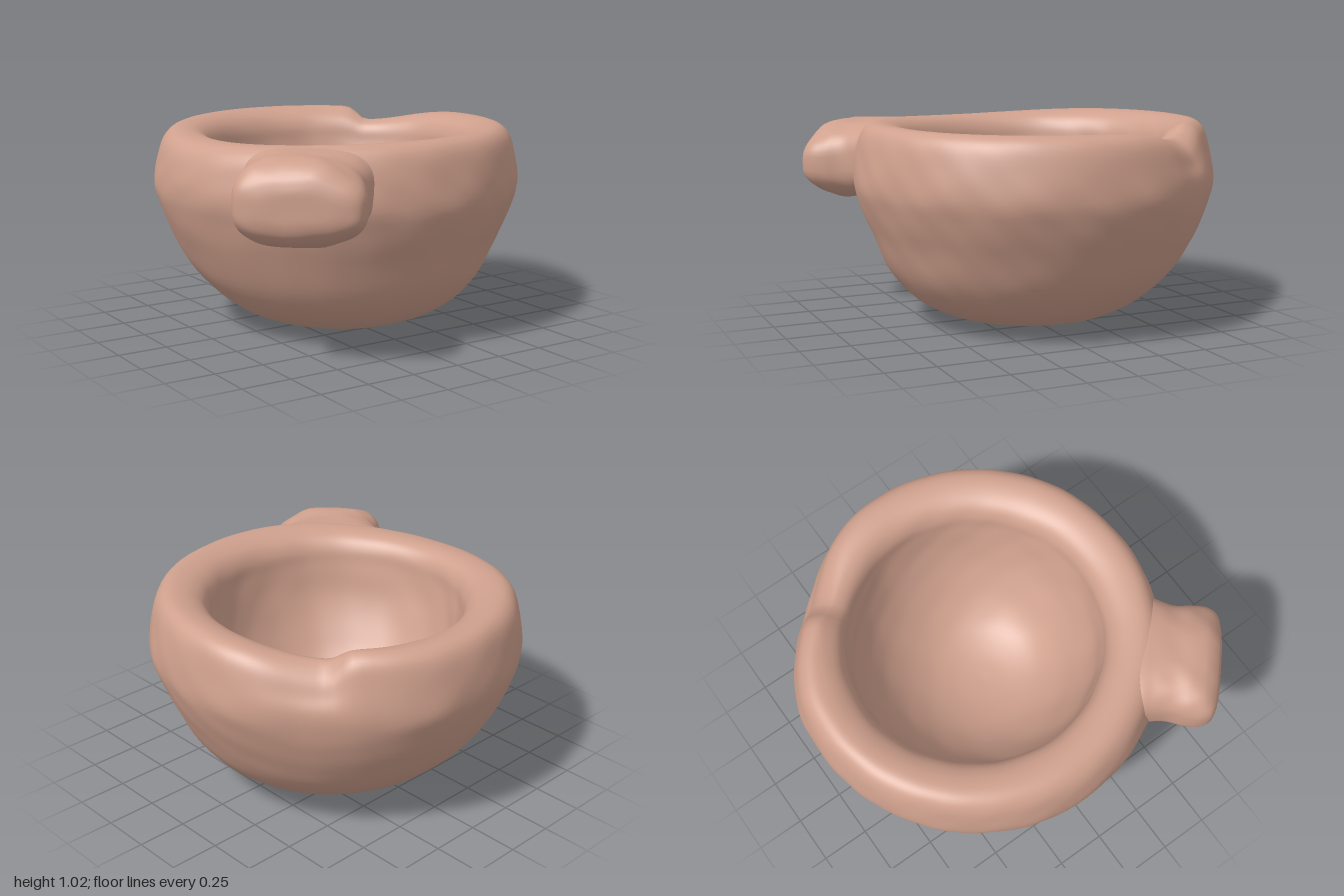
import * as THREE from 'three';
import { mergeVertices } from 'three/addons/utils/BufferGeometryUtils.js';

const CENTRE = { x: 0.025, z: -0.07 };
const NOTCH = Math.atan2(0.6, -0.56); // direction of the pouring notch
const HANDLE = Math.atan2(-0.66, 0.75); // direction of the handle

const bell = (d, w) => Math.exp(-(d * d) / (w * w));
const wrap = (a) => Math.atan2(Math.sin(a), Math.cos(a));
const ramp = THREE.MathUtils.smoothstep;

// Smooth pseudo-random unevenness of worn stone
function rough(x, y, z) {
  return 0.40 * Math.sin(5.1 * x + 2.3 * z + 3 * y) * Math.sin(4.7 * z - 2.9 * y + 1)
    + 0.25 * Math.sin(11 * x - 7 * y + 0.5) * Math.sin(9 * z + 10 * y)
    + 0.18 * Math.sin(23 * x + 13 * y) * Math.sin(21 * z - 17 * y + 2);
}

// Move every vertex by a rule, then weld and smooth
function sculpt(geometry, rule) {
  const p = geometry.attributes.position;
  const v = new THREE.Vector3();
  for (let i = 0; i < p.count; i++) {
    rule(v.fromBufferAttribute(p, i));
    p.setXYZ(i, v.x, v.y, v.z);
  }
  geometry.deleteAttribute('uv');
  geometry.deleteAttribute('normal');
  const welded = mergeVertices(geometry, 1e-4);
  welded.computeVertexNormals();
  return welded;
}

function bowlGeometry() {
  // Outside from the base up, over the rounded rim, down to the hollow floor
  const profile = new THREE.SplineCurve([
    [0, 0.004], [0.18, 0.01], [0.33, 0.027], [0.48, 0.07], [0.62, 0.155], [0.755, 0.3], [0.85, 0.48],
    [0.905, 0.62], [0.93, 0.73], [0.915, 0.87], [0.885, 0.975], [0.83, 1.02], [0.75, 1.015],
    [0.68, 0.98], [0.64, 0.92], [0.625, 0.83], [0.59, 0.68], [0.53, 0.53], [0.43, 0.38], [0.3, 0.27],
    [0.15, 0.215], [0, 0.2],
  ].map(([r, y]) => new THREE.Vector2(r, y))).getPoints(105);
  profile[0].x = profile[105].x = 0;

  return sculpt(new THREE.LatheGeometry(profile, 120), (v) => {
    const { y } = v;
    const r = Math.hypot(v.x, v.z);
    const angle = Math.atan2(v.x, v.z);
    const d = wrap(angle - NOTCH);
    const outward = ramp(r, 0.62, 0.9);
    const top = ramp(y, 0.72, 1.0);
    // Rougher band under the rim, flattened wall by the notch
    const band = 0.009 + 0.006 * bell(y - 0.74, 0.12);
    const flat = 0.06 * bell(d, 0.4) * ramp(y, 0.4, 0.95) + 0.02 * bell(d, 0.7) * bell(y - 0.4, 0.25);
    const scale = 1 + (rough(v.x, y, v.z) * band * Math.min(1, r * 3)
      - flat * ramp(r, 0.68, 0.85)) / Math.max(r, 0.01);
    // Channel across the rim: one steep flank, one gentle flank
    const cut = bell(d, d > 0 ? 0.09 : 0.4) * (0.03 + 0.07 * outward);
    // Rim worn down on the right
    const worn = 0.05 * bell(wrap(angle + 1.45), 0.7) * outward;
    // The lower bowl sits slightly further forward
    const lean = 0.045 * (1 - ramp(y, 0.1, 0.5));
    v.set(v.x * scale, y - (cut + worn) * top, v.z * scale + lean);
  });
}

function handleGeometry() {
  // Stations outward from the bowl: distance, half width, bottom, top
  const stations = [
    [0.7, 0.3, 0.72, 0.97], [0.8, 0.325, 0.66, 1.005], [0.88, 0.3, 0.615, 1.005],
    [0.97, 0.285, 0.595, 1.0], [1.06, 0.3, 0.595, 1.0], [1.13, 0.3, 0.615, 0.98],
    [1.18, 0.275, 0.655, 0.935], [1.205, 0.2, 0.7, 0.88], [1.21, 0, 0.79, 0.79],
  ];
  const size = new THREE.CatmullRomCurve3(stations.map(([s, w]) => new THREE.Vector3(s, w, 0)));
  const level = new THREE.CatmullRomCurve3(stations.map(([s, , b, t]) => new THREE.Vector3(s, b, t)));
  const a = new THREE.Vector3();
  const b = new THREE.Vector3();
  const block = (c) => Math.sign(c) * Math.pow(Math.abs(c), 0.68);

  return sculpt(new THREE.CylinderGeometry(1, 1, 1, 56, 48, true), (v) => {
    const t = THREE.MathUtils.clamp(v.y + 0.5, 0, 1);
    size.getPoint(t, a);
    level.getPoint(t, b);
    const x = block(v.x) * Math.max(0, a.y);
    // The front corner is worn thinner than the rest
    const side = ramp(x, 0.05, 0.3) * ramp(a.x, 0.85, 1.1);
    const half = (b.z - b.y) / 2 * (1 - 0.16 * side);
    const y = (b.y + b.z) / 2 - 0.015 * side - block(v.z) * half;
    const n = rough(x * 1.6, y, a.x * 1.6) * 0.018 * ramp(a.x, 0.8, 1);
    v.set(x * (1 + n), y + n * 0.8, a.x);
  });
}

export function createModel() {
  const stone = new THREE.MeshStandardMaterial({ color: 0xcfa08d });
  stone.name = 'pinkish stone';

  const bowl = new THREE.Mesh(bowlGeometry(), stone);
  bowl.name = 'bowl';
  bowl.position.set(CENTRE.x, 0, CENTRE.z);

  const handle = new THREE.Mesh(handleGeometry(), stone);
  handle.name = 'handle';
  handle.position.copy(bowl.position);
  handle.rotation.y = HANDLE;

  const model = new THREE.Group();
  model.name = 'stone mortar';
  model.add(bowl, handle);
  return model;
}
